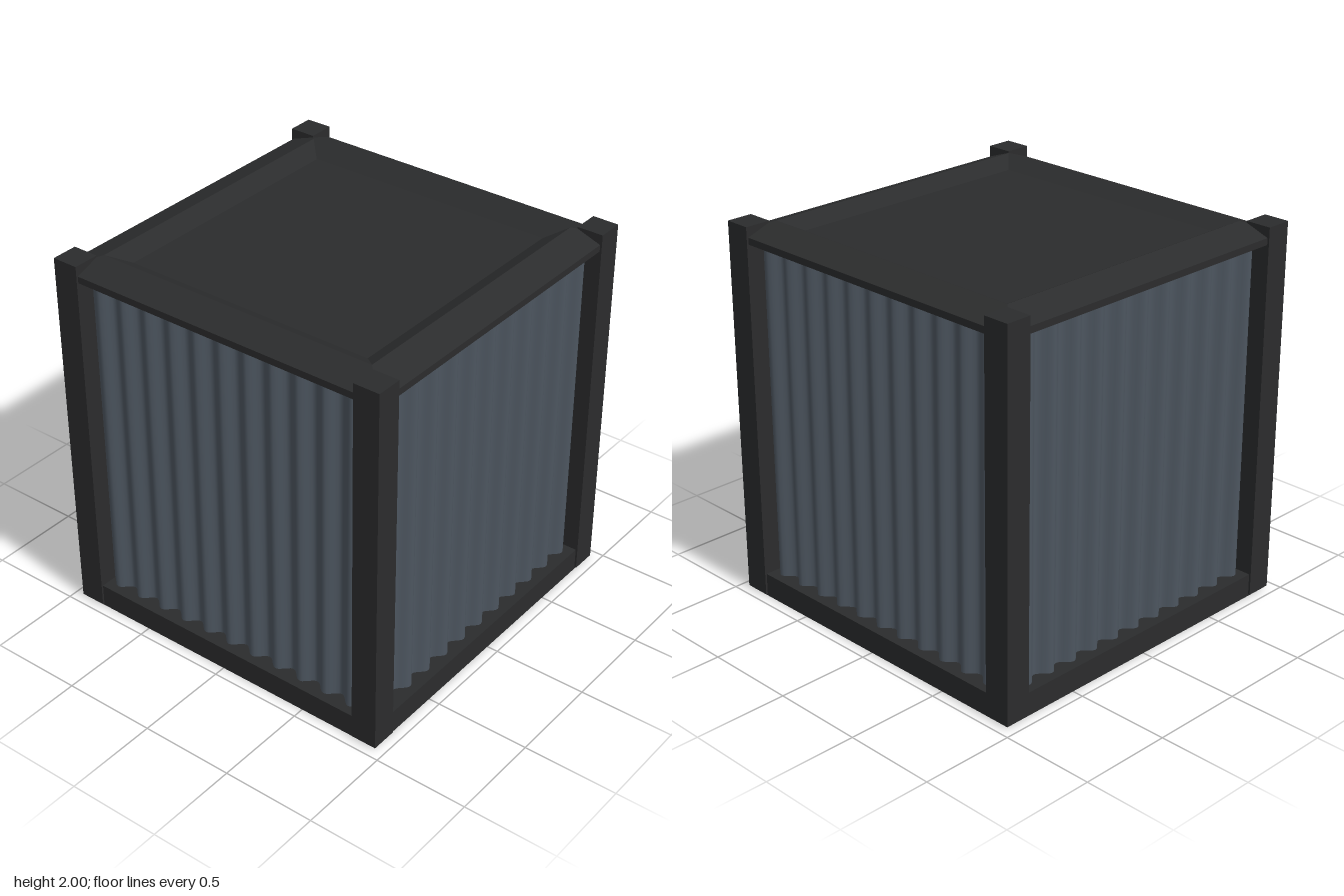
import * as THREE from 'three';

const frameMaterial = new THREE.MeshStandardMaterial({ color: 0x2b2c2d, flatShading: true });
const wallMaterial = new THREE.MeshStandardMaterial({ color: 0x4d5660, side: THREE.DoubleSide });

// Sweep a [half-width, height] profile around a square.
function squareSweep(name, profile) {
  const points = profile.map(([r, y]) => new THREE.Vector2(r * Math.SQRT2, y));
  const geometry = new THREE.LatheGeometry(points, 4, Math.PI / 4).toNonIndexed();
  geometry.computeVertexNormals();
  const mesh = new THREE.Mesh(geometry, frameMaterial);
  mesh.name = name;
  return mesh;
}

// Upright sheet with sine-wave ribs, facing +z.
function corrugatedSheet(width, height, waves, depth) {
  const geometry = new THREE.PlaneGeometry(width, height, waves * 10, 1);
  const position = geometry.attributes.position;
  for (let i = 0; i < position.count; i++) {
    const t = position.getX(i) / width + 0.5;
    position.setZ(i, -Math.cos(t * waves * Math.PI * 2) * depth / 2);
  }
  geometry.computeVertexNormals();
  return geometry;
}

export function createModel() {
  const model = new THREE.Group();
  model.name = 'corrugatedContainer';

  // Bottom rails, open in the middle
  model.add(squareSweep('bottomRails', [
    [0.80, 0], [0.94, 0], [0.94, 0.125], [0.80, 0.125], [0.80, 0],
  ]));

  // Roof: sloped rim around a sunken panel
  model.add(squareSweep('roof', [
    [0, 1.91], [0.94, 1.91], [0.94, 1.945], [0.785, 2], [0.69, 1.95], [0, 1.95],
  ]));

  // Four corner posts and four corrugated walls
  const postGeometry = new THREE.BoxGeometry(0.14, 1.99, 0.14);
  const wallGeometry = corrugatedSheet(1.64, 1.8, 11, 0.05);
  const sides = ['front', 'left', 'back', 'right'];
  const corners = ['frontLeft', 'backLeft', 'backRight', 'frontRight'];
  for (let i = 0; i < 4; i++) {
    const side = new THREE.Group();
    side.name = sides[i] + 'Side';
    side.rotation.y = i * Math.PI / 2;

    const wall = new THREE.Mesh(wallGeometry, wallMaterial);
    wall.name = sides[i] + 'Wall';
    wall.position.set(0, 1.015, 0.87);

    const post = new THREE.Mesh(postGeometry, frameMaterial);
    post.name = corners[i] + 'Post';
    post.position.set(0.88, 1.005, 0.88);

    side.add(wall, post);
    model.add(side);
  }
  return model;
}
